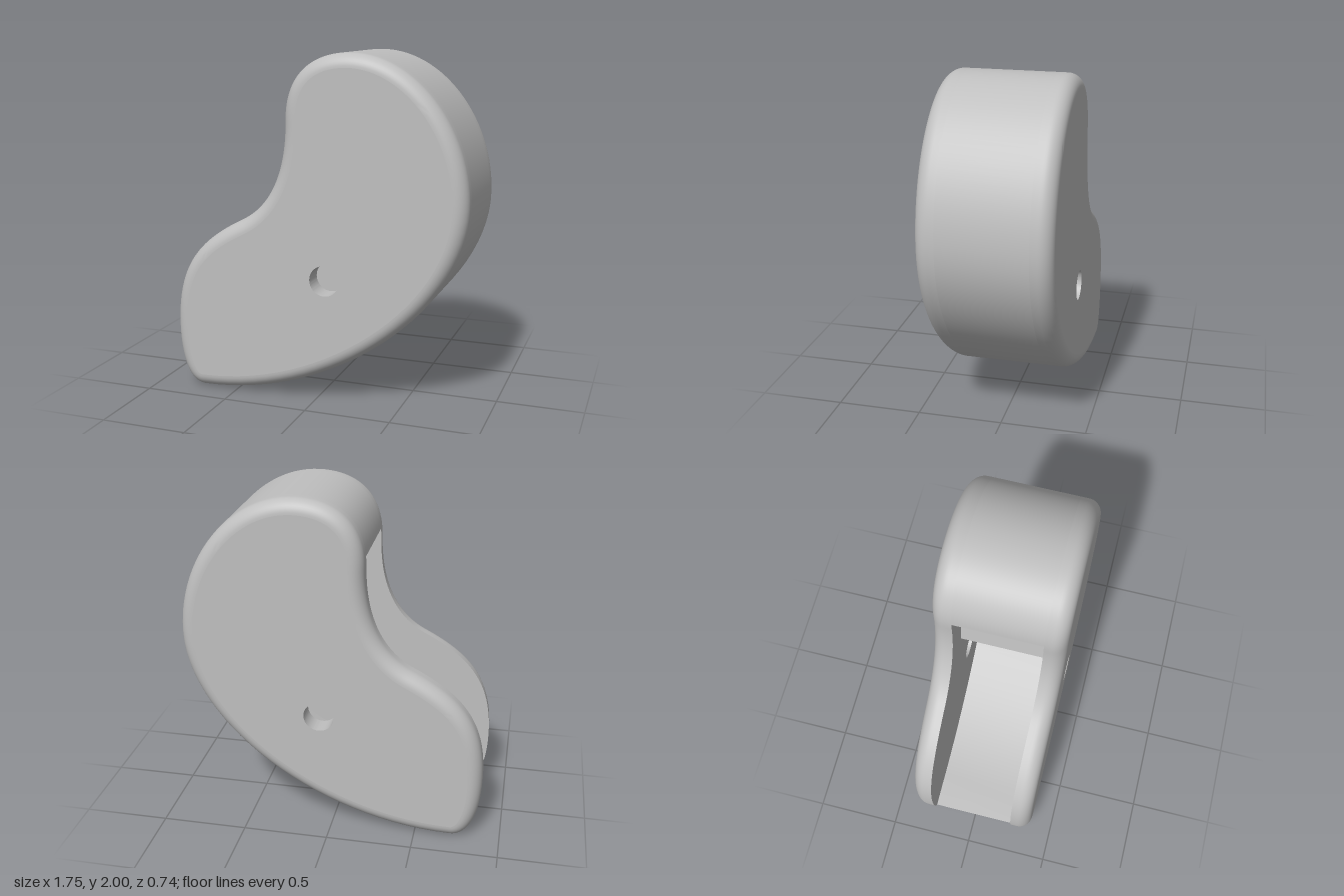
import * as THREE from 'three';
import { toCreasedNormals } from 'three/addons/utils/BufferGeometryUtils.js';

const HALF = 0.37, SLOT = 0.25, FILLET = 0.08, WALL = 0.12;

// Kidney-shaped side profile, counterclockwise
function outlineCurve() {
  const path = new THREE.Path();
  path.moveTo(-0.71, 0);
  path.bezierCurveTo(0.1, 0, 0.875, 0.6, 0.875, 1.18);
  path.bezierCurveTo(0.875, 1.62, 0.56, 2, 0.2, 2);
  path.bezierCurveTo(0, 2, -0.18, 1.9, -0.18, 1.62);
  path.bezierCurveTo(-0.18, 1.32, -0.28, 1.13, -0.45, 1.04);
  path.bezierCurveTo(-0.73, 0.9, -0.88, 0.75, -0.88, 0.38);
  path.bezierCurveTo(-0.88, 0.17, -0.83, 0, -0.71, 0);
  return path;
}

// Outline points with outward normals
function sampleOutline(perCurve) {
  const samples = [];
  for (const curve of outlineCurve().curves) {
    for (let i = 0; i < perCurve; i++) {
      const t = curve.getTangent(i / perCurve);
      samples.push({ p: curve.getPoint(i / perCurve), n: new THREE.Vector2(t.y, -t.x) });
    }
  }
  return samples;
}

const inset = (samples, d) => samples.map(({ p, n }) => p.clone().addScaledVector(n, -d));

// Skin between stacked loops: each layer is { pts, z }, z rising
function skin(layers, closed) {
  const pos = [];
  for (let k = 0; k < layers.length - 1; k++) {
    const a = layers[k], b = layers[k + 1], n = a.pts.length;
    for (let i = 0; i < (closed ? n : n - 1); i++) {
      const j = (i + 1) % n;
      const A = [a.pts[i].x, a.pts[i].y, a.z], B = [a.pts[j].x, a.pts[j].y, a.z];
      const C = [b.pts[j].x, b.pts[j].y, b.z], D = [b.pts[i].x, b.pts[i].y, b.z];
      pos.push(...A, ...B, ...C, ...A, ...C, ...D);
    }
  }
  const geo = new THREE.BufferGeometry();
  geo.setAttribute('position', new THREE.Float32BufferAttribute(pos, 3));
  return toCreasedNormals(geo, 0.6);
}

// Flat face with the pin hole, facing +z or -z
function face(pts, hole, z, facing) {
  const shape = new THREE.Shape(pts);
  shape.holes.push(new THREE.Path(hole));
  const geo = new THREE.ShapeGeometry(shape);
  if (facing < 0) {
    geo.setIndex(Array.from(geo.index.array).reverse());
    geo.computeVertexNormals();
  }
  return geo.translate(0, 0, z);
}

export function createModel() {
  const group = new THREE.Group();
  const grey = new THREE.MeshStandardMaterial({ color: 0xbfbfbf });
  grey.name = 'grey';
  const add = (name, geo) => {
    const mesh = new THREE.Mesh(geo, grey);
    mesh.name = name;
    group.add(mesh);
  };

  const samples = sampleOutline(28);
  const outline = inset(samples, 0);
  const hole = new THREE.Path().absarc(0.07, 0.73, 0.088, 0, Math.PI * 2).getPoints(40).slice(0, -1);
  const holeReversed = [...hole].reverse();

  // Slot opening along the concave side
  const first = outline.findIndex((p) => p.x < 0 && p.y > 1 && p.y <= 1.68);
  const last = outline.findIndex((p, i) => i > first && p.y <= 0.12);
  const opening = outline.slice(first, last + 1);

  // Closed part of the outer wall between the side plates
  const shell = [...outline.slice(last), ...outline.slice(0, first + 1)];
  add('outerWall', skin([{ pts: shell, z: -SLOT }, { pts: shell, z: SLOT }], false));

  // Cavity: floor follows the outer wall, then returns to a solid upper block
  const floor = inset(samples.slice(0, 56), WALL).filter((p) => p.y < 1.15);
  const cavityWall = [outline[last], ...floor,
    new THREE.Vector2(-0.065, 1.19), new THREE.Vector2(0.015, 1.68), outline[first]];
  const inner = [...cavityWall].reverse();
  add('cavityWall', skin([{ pts: inner, z: -SLOT }, { pts: inner, z: SLOT }], false));
  const cavity = [...cavityWall, ...opening.slice(1, -1)];

  // Side plates with rounded outer rims
  const flatFace = inset(samples, FILLET);
  for (const side of [1, -1]) {
    const label = side > 0 ? 'front' : 'back';
    const rim = [{ pts: outline, z: side * SLOT }];
    for (let i = 0; i <= 10; i++) {
      const a = (i / 10) * Math.PI / 2;
      rim.push({
        pts: inset(samples, FILLET * (1 - Math.cos(a))),
        z: side * (HALF - FILLET + FILLET * Math.sin(a)),
      });
    }
    const bore = [{ pts: holeReversed, z: side * SLOT }, { pts: holeReversed, z: side * HALF }];
    if (side < 0) { rim.reverse(); bore.reverse(); }
    add(label + 'Rim', skin(rim, true));
    add(label + 'PinHole', skin(bore, true));
    add(label + 'Face', face(flatFace, hole, side * HALF, side));
    add(label + 'InnerFace', face(cavity, hole, side * SLOT, -side));
  }
  return group;
}
